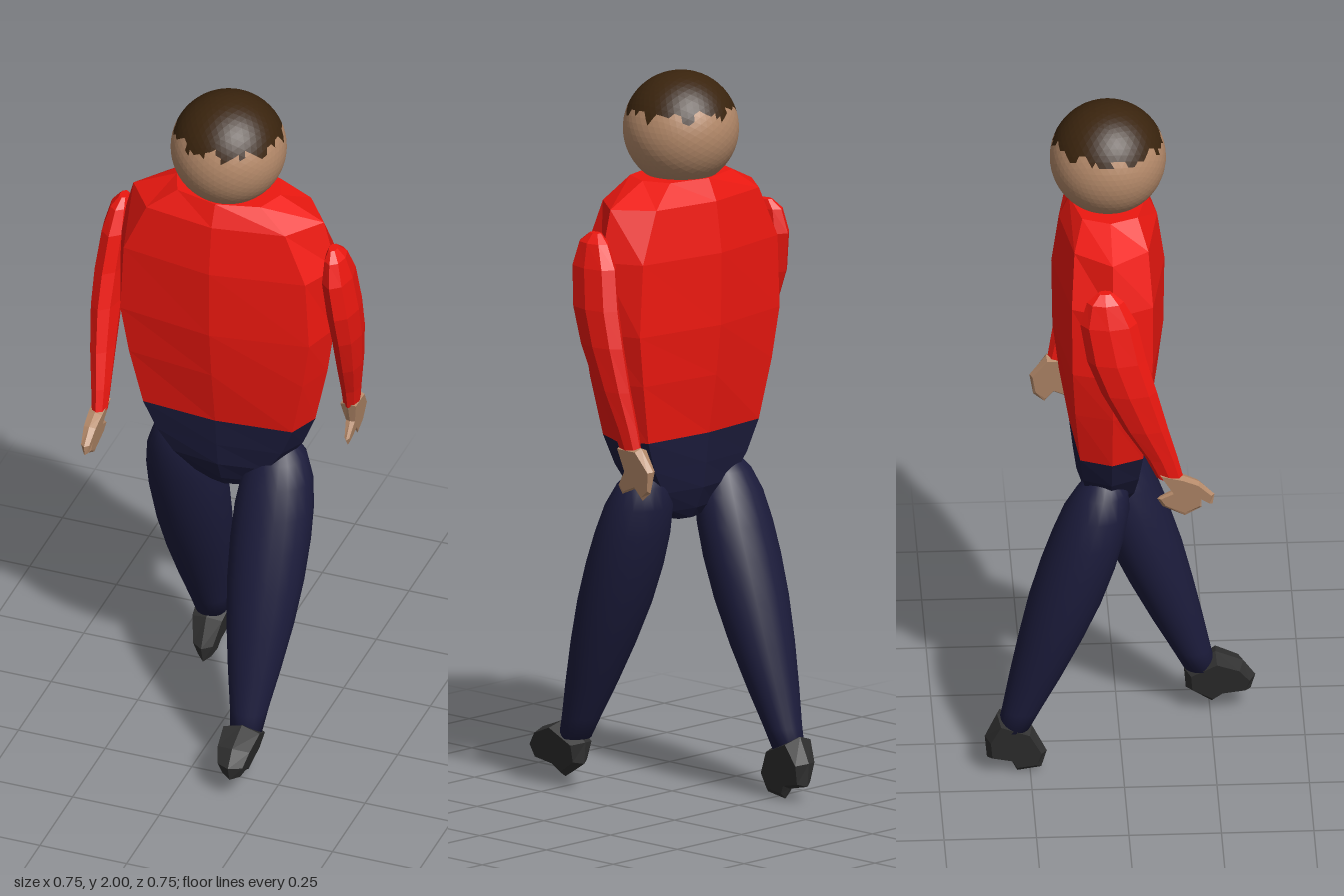
import * as THREE from 'three';

const RED = 0xee1810, NAVY = 0x1c1c3c, SKIN = 0xb58a6a, HAIR = 0x3a240e, SHOE = 0x303030;
const CZ = -0.033; // body centre line in z

function part(name, geometry, color, flatShading = true) {
  const mesh = new THREE.Mesh(geometry, new THREE.MeshStandardMaterial({ color, flatShading }));
  mesh.name = name;
  return mesh;
}

// Skin over rings of points listed from top to bottom, closed at both ends
function loft(rings) {
  const n = rings[0].length, pos = rings.flat(2), index = [];
  const centre = ring => [0, 1, 2].map(k => ring.reduce((s, p) => s + p[k], 0) / n);
  const last = rings.length - 1, top = rings.length * n;
  pos.push(...centre(rings[0]), ...centre(rings[last]));
  for (let j = 0; j < n; j++) {
    const k = (j + 1) % n;
    for (let i = 0; i < last; i++) {
      const a = i * n + j, b = i * n + k;
      index.push(a, b, a + n, b, b + n, a + n);
    }
    index.push(top, k, j, top + 1, last * n + j, last * n + k);
  }
  const g = new THREE.BufferGeometry();
  g.setAttribute('position', new THREE.Float32BufferAttribute(pos, 3));
  g.setIndex(index);
  g.computeVertexNormals();
  return g;
}

// Eight-sided torso ring: side point, corners, front and back points
const torsoRing = ([y, side, cx, cz, fz]) => [
  [side, 0], [cx, cz], [0, fz], [-cx, cz], [-side, 0], [-cx, -cz], [0, -fz], [cx, -cz],
].map(([x, z]) => [x, y, CZ + z]);

// Limb from rows of [y, z, rx, rz, xOffset]
function limb(x0, rows, sides) {
  return loft(rows.map(([y, z, rx, rz, dx = 0]) => Array.from({ length: sides }, (_, j) => {
    const a = (j / sides) * Math.PI * 2;
    return [x0 + dx + rx * Math.cos(a), y, z + rz * Math.sin(a)];
  })));
}

// Side profile in (z, y), thick across x at the top and thin at the bottom
function wedge(x0, outline, topWidth, bottomWidth, shrink) {
  const ys = outline.map(p => p[1]), zs = outline.map(p => p[0]);
  const lo = Math.min(...ys), hi = Math.max(...ys);
  const mz = (Math.min(...zs) + Math.max(...zs)) / 2, my = (lo + hi) / 2;
  const shape = new THREE.Shape(outline.map(p => new THREE.Vector2(...p)));
  const g = new THREE.ExtrudeGeometry(shape, { depth: 1, steps: 2, bevelEnabled: false });
  const p = g.attributes.position;
  for (let i = 0; i < p.count; i++) {
    const d = p.getZ(i) - 0.5, s = Math.abs(d) > 0.25 ? shrink : 1;
    const w = THREE.MathUtils.lerp(bottomWidth, topWidth, (p.getY(i) - lo) / (hi - lo));
    p.setXYZ(i, x0 - d * w, my + (p.getY(i) - my) * s, mz + (p.getX(i) - mz) * s);
  }
  g.computeVertexNormals();
  return g;
}

// One faceted ball split along a jagged hairline
function headParts() {
  const src = new THREE.IcosahedronGeometry(0.157, 9).attributes.position;
  const skin = [], hair = [];
  for (let i = 0; i < src.count; i += 3) {
    const tri = [0, 1, 2].map(k => new THREE.Vector3().fromBufferAttribute(src, i + k));
    const c = tri[0].clone().add(tri[1]).add(tri[2]).divideScalar(3);
    const a = Math.atan2(c.z, c.x);
    const line = 0.058 + 0.01 * Math.sin(9 * a) + 0.008 * Math.sin(17 * a + 1);
    const out = c.y > line ? hair : skin;
    tri.forEach(v => out.push(v.x, v.y, v.z));
  }
  return [['head', skin, SKIN], ['hair', hair, HAIR]].map(([name, pts, color]) => {
    const g = new THREE.BufferGeometry();
    g.setAttribute('position', new THREE.Float32BufferAttribute(pts, 3));
    g.computeVertexNormals();
    const mesh = part(name, g, color);
    mesh.position.set(0, 1.843, CZ);
    return mesh;
  });
}

export function createModel() {
  const model = new THREE.Group();
  model.name = 'walkingFigure';
  model.add(...headParts());

  // Torso and pelvis
  const waist = [1.015, 0.25, 0.215, 0.085, 0.105];
  model.add(part('shirt', loft([
    [1.72, 0.15, 0.12, 0.075, 0.105],
    [1.66, 0.275, 0.2, 0.1, 0.133],
    [1.52, 0.312, 0.262, 0.11, 0.153],
    [1.32, 0.305, 0.272, 0.108, 0.15],
    [1.18, 0.285, 0.25, 0.1, 0.133],
    waist].map(torsoRing)), RED));
  model.add(part('pelvis', loft([
    waist,
    [0.93, 0.215, 0.18, 0.075, 0.095],
    [0.86, 0.165, 0.135, 0.065, 0.085],
    [0.8, 0.1, 0.08, 0.045, 0.06],
    [0.77, 0.05, 0.04, 0.03, 0.04]].map(torsoRing)), NAVY));

  // Arms: the left swings back, the right swings forward
  for (const [name, s, z0, z1] of [['left', 1, -0.012, -0.147], ['right', -1, -0.055, 0.12]]) {
    const at = t => z0 + (z1 - z0) * t;
    const rows = [
      [1.6, at(0), 0.012, 0.02, -0.005], [1.575, at(0), 0.028, 0.05, 0.002],
      [1.51, at(0.05), 0.04, 0.077, 0.008], [1.4, at(0.17), 0.042, 0.08, 0.018],
      [1.3, at(0.36), 0.039, 0.075, 0.02], [1.18, at(0.62), 0.033, 0.06, 0.013],
      [1.08, at(0.87), 0.026, 0.043, 0.003], [1.015, at(1), 0.021, 0.036, -0.002],
    ].map(r => [...r.slice(0, 4), r[4] * s]);
    model.add(part(name + 'Sleeve', limb(s * 0.315, rows, 8), RED));
  }
  model.add(part('leftHand', wedge(0.313, [
    [-0.11, 1.03], [-0.185, 1.03], [-0.23, 0.97], [-0.22, 0.91], [-0.19, 0.885],
    [-0.165, 0.915], [-0.115, 0.893], [-0.1, 0.915], [-0.13, 0.96]], 0.045, 0.006, 0.88), SKIN));
  model.add(part('rightHand', wedge(-0.315, [
    [0.085, 1.04], [0.155, 1.02], [0.2, 1.0], [0.24, 0.96], [0.235, 0.93], [0.205, 0.95],
    [0.205, 0.92], [0.16, 0.895], [0.1, 0.925], [0.085, 0.95], [0.125, 0.97]], 0.045, 0.006, 0.88), SKIN));

  // Legs: the left strides forward, the right trails behind
  const legShape = [
    [0.93, 0.015, 0.015], [0.915, 0.045, 0.045], [0.88, 0.075, 0.07], [0.82, 0.097, 0.09],
    [0.74, 0.108, 0.099], [0.65, 0.11, 0.103], [0.54, 0.105, 0.1], [0.42, 0.092, 0.087],
    [0.3, 0.072, 0.07], [0.2, 0.053, 0.053], [0.14, 0.044, 0.044],
  ];
  for (const [name, x, zEnd] of [['leftLeg', 0.147, 0.222], ['rightLeg', -0.147, -0.295]]) {
    const rows = legShape.map(([y, rx, rz]) => {
      const t = Math.pow((0.93 - y) / 0.79, 1.15);
      return [y, -0.045 + (zEnd + 0.045) * t, rx, rz];
    });
    model.add(part(name, limb(x, rows, 20), NAVY, false));
  }

  // Shoes
  model.add(part('leftShoe', wedge(0.15, [
    [0.265, 0.18], [0.18, 0.13], [0.185, 0.07], [0.255, 0.025], [0.285, 0.05],
    [0.36, 0.062], [0.373, 0.105], [0.34, 0.15]], 0.105, 0.035, 0.82), SHOE));
  model.add(part('rightShoe', wedge(-0.145, [
    [-0.245, 0.14], [-0.34, 0.18], [-0.373, 0.11], [-0.367, 0.045], [-0.3, 0.03],
    [-0.285, 0.0], [-0.22, 0.01], [-0.205, 0.06]], 0.1, 0.035, 0.82), SHOE));
  return model;
}
